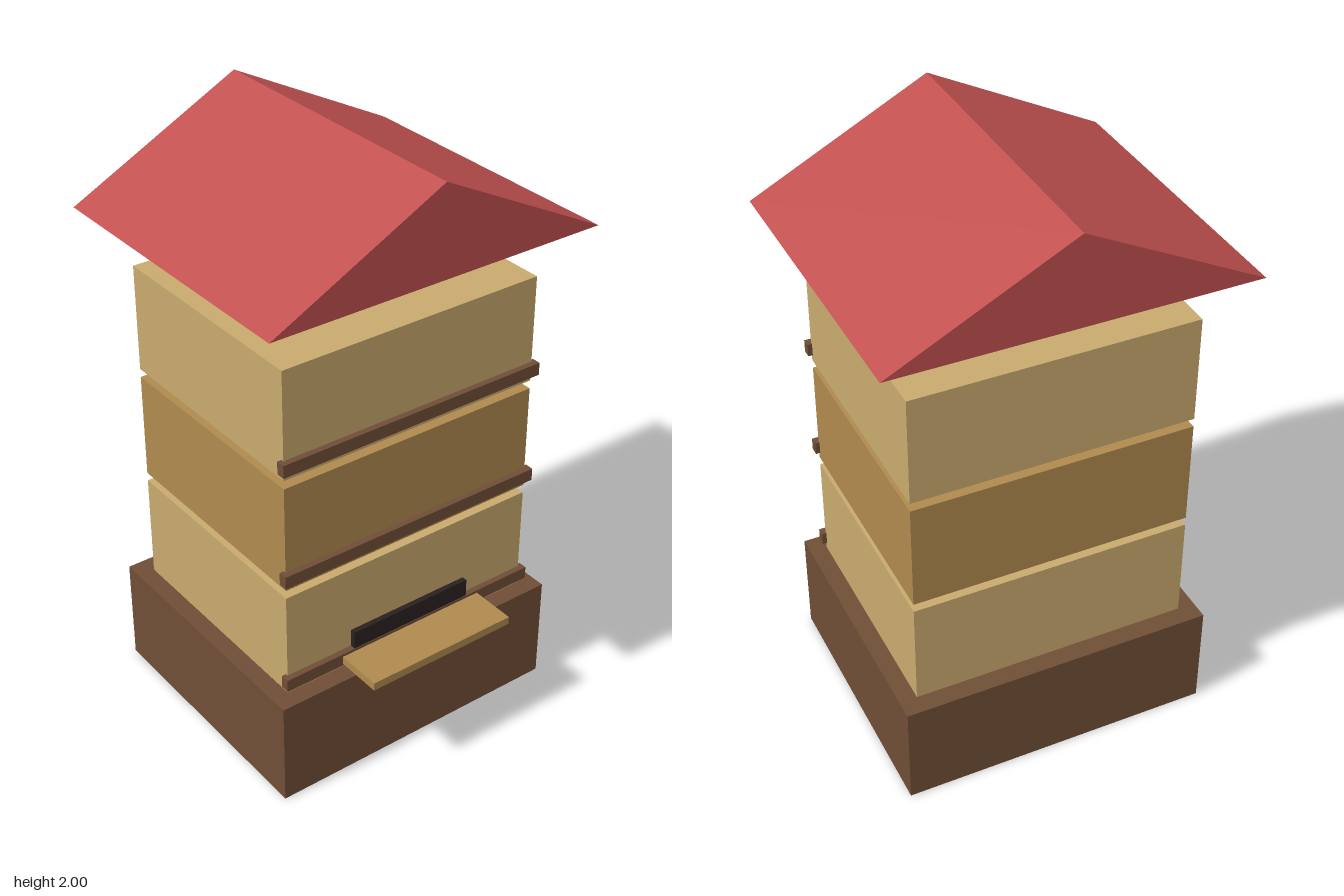
import * as THREE from 'three';

const paint = (name, color) => {
  const m = new THREE.MeshStandardMaterial({ color });
  m.name = name;
  return m;
};

export function createModel() {
  const model = new THREE.Group();
  model.name = 'beehive';
  const darkWood = paint('dark wood', 0x704e36);
  const paleWood = paint('pale wood', 0xc9aa6e);
  const honeyWood = paint('honey wood', 0xb08a4e);
  const roofRed = paint('roof red', 0xc0504f);
  const black = paint('entrance black', 0x2a2020);

  // Box centred on x, given its width and its y and z limits
  const addBox = (name, material, width, y0, y1, z0, z1) => {
    const mesh = new THREE.Mesh(new THREE.BoxGeometry(width, y1 - y0, z1 - z0), material);
    mesh.position.set(0, (y0 + y1) / 2, (z0 + z1) / 2);
    mesh.name = name;
    model.add(mesh);
  };

  addBox('base', darkWood, 1.058, 0, 0.365, -0.485, 0.425);

  // Three stacked hive boxes, each with a front rail
  const tierNames = ['lower', 'middle', 'upper'];
  tierNames.forEach((tier, i) => {
    const y = 0.365 + i * 0.394;
    addBox(tier + 'HiveBox', i === 1 ? honeyWood : paleWood, 0.94, y, y + 0.365, -0.421, 0.365);
    addBox(tier + 'Rail', darkWood, 0.97, y + 0.025, y + 0.068, 0.356, 0.386);
  });

  // Entrance slot and landing board
  addBox('entrance', black, 0.454, 0.41, 0.495, 0.36, 0.384);
  addBox('landingBoard', honeyWood, 0.546, 0.396, 0.424, 0.364, 0.545);

  // Gable roof floating above the boxes
  const gable = new THREE.Shape([
    new THREE.Vector2(-0.59, 1.7),
    new THREE.Vector2(0.59, 1.7),
    new THREE.Vector2(0, 2),
  ]);
  const roof = new THREE.Mesh(
    new THREE.ExtrudeGeometry(gable, { depth: 1.03, bevelEnabled: false }), roofRed);
  roof.position.z = -0.545;
  roof.name = 'roof';
  model.add(roof);

  return model;
}
